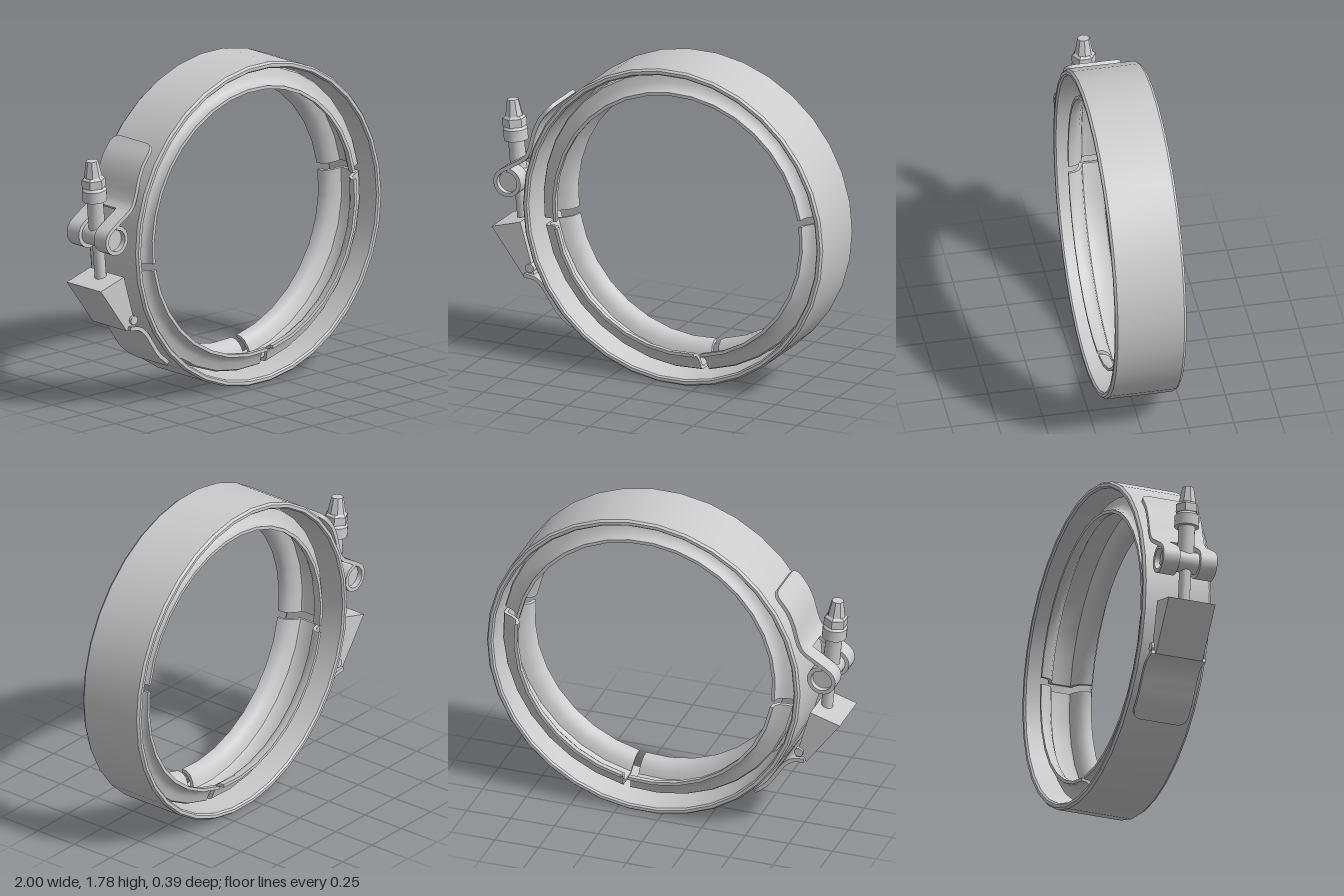
import * as THREE from 'three';
import { toCreasedNormals } from 'three/addons/utils/BufferGeometryUtils.js';

const CX = 0.105, CY = 0.9, RAD = Math.PI / 180;
const mat = new THREE.MeshStandardMaterial({ color: 0xcccccc, side: THREE.DoubleSide });

function add(parent, name, geo, crease = 0.6) {
  const mesh = new THREE.Mesh(toCreasedNormals(geo, crease), mat);
  mesh.name = name;
  parent.add(mesh);
  return mesh;
}

// Sweeps a closed (radius, z) profile around the z axis, from angle a0 over sweep (degrees)
function arc(profile, a0, sweep, segments) {
  const pts = [...profile, profile[0]].map(p => new THREE.Vector2(...p));
  return new THREE.LatheGeometry(pts, segments, (a0 + 90) * RAD, sweep * RAD).rotateX(Math.PI / 2);
}

// Bent sheet metal: follows an xy path, with thickness t, from z0 to z1, end corners rounded by r
function sheet(path, t, z0, z1, steps, r = 0) {
  const curve = new THREE.CatmullRomCurve3(path.map(p => new THREE.Vector3(p[0], p[1], 0)), false, 'centripetal');
  const length = curve.getLength(), us = [];
  if (r) for (const k of [0, 0.05, 0.15, 0.3, 0.55]) us.push(k * r / length);
  for (let i = 0; i <= steps; i++) us.push((r + (length - r) * i / steps) / length);
  const pos = [], idx = [];
  us.forEach((u, i) => {
    const p = curve.getPointAt(Math.min(u, 1)), d = curve.getTangentAt(Math.min(u, 1));
    const gap = Math.max(0, r - u * length), inset = r - Math.sqrt(Math.max(0, r * r - gap * gap));
    const nx = -d.y * t / 2, ny = d.x * t / 2, a = z0 + inset, b = z1 - inset;
    pos.push(p.x + nx, p.y + ny, a, p.x + nx, p.y + ny, b, p.x - nx, p.y - ny, b, p.x - nx, p.y - ny, a);
    if (i) for (let k = 0; k < 4; k++) {
      const m = (k + 1) % 4, A = 4 * (i - 1), B = 4 * i;
      idx.push(A + k, B + m, B + k, A + k, A + m, B + m);
    }
  });
  const e = 4 * (us.length - 1);
  idx.push(0, 2, 1, 0, 3, 2, e, e + 1, e + 2, e, e + 2, e + 3);
  const geo = new THREE.BufferGeometry();
  geo.setAttribute('position', new THREE.Float32BufferAttribute(pos, 3));
  geo.setIndex(idx);
  return geo;
}

export function createModel() {
  const model = new THREE.Group();
  model.name = 'bandClamp';

  // Outer strap with softly bevelled rims
  const strap = add(model, 'outerStrap', arc([
    [0.885, -0.195], [0.895, -0.182], [0.895, 0.182], [0.885, 0.195],
    [0.868, 0.195], [0.86, 0.185], [0.86, -0.185], [0.868, -0.195]], 0, 360, 34));
  strap.position.set(CX, CY, 0);

  // Three flared channel segments inside the strap
  const outer = [[0.842, 0.055], [0.834, 0.07], [0.79, 0.083], [0.762, 0.1], [0.75, 0.12], [0.748, 0.145]];
  const inner = [[0.73, 0.145], [0.733, 0.112], [0.75, 0.085], [0.785, 0.064], [0.818, 0.054], [0.824, 0.042]];
  const flip = list => list.map(([r, z]) => [r, -z]);
  const channel = [...flip(outer).reverse(), ...outer, ...inner, ...flip(inner).reverse()];
  const cap = new THREE.Shape(channel.map(p => new THREE.Vector2(...p)));
  for (const [start, end] of [[10.5, 187.5], [190.5, 277.5], [280.5, 367.5]]) {
    const segment = new THREE.Group();
    segment.name = 'channelSegment';
    segment.position.set(CX + 0.008, CY + 0.003, 0);
    add(segment, 'channel', arc(channel, start, end - start, Math.round((end - start) / 10.5)));
    for (const a of [start, end])
      add(segment, 'channelEnd', new THREE.ShapeGeometry(cap).rotateX(Math.PI / 2).rotateZ(a * RAD));
    model.add(segment);
  }

  // Upper tab, splitting into two loops that hold the trunnion
  const pivot = [-0.9, 0.99];
  const upper = [[-0.63, 1.47], [-0.70, 1.385], [-0.735, 1.31], [-0.765, 1.2], [-0.785, 1.155], [-0.81, 1.13]];
  add(model, 'upperTab', sheet(upper, 0.022, -0.155, 0.155, 18, 0.05));
  const loop = [[-0.81, 1.13], [-0.87, 1.093]];
  for (let a = 120; a <= 450; a += 15)
    loop.push([pivot[0] + 0.07 * Math.cos(a * RAD), pivot[1] + 0.07 * Math.sin(a * RAD)]);
  for (const [z0, z1] of [[-0.155, -0.06], [0.06, 0.155]])
    add(model, 'tabLoop', sheet(loop, 0.022, z0, z1, 40));
  const trunnion = add(model, 'trunnion', new THREE.CylinderGeometry(0.059, 0.059, 0.25, 24).rotateX(Math.PI / 2));
  trunnion.position.set(...pivot, 0);

  // Tension bolt, tilted; heights are measured from the trunnion along the bolt
  const bolt = new THREE.Group();
  bolt.name = 'tensionBolt';
  bolt.position.set(...pivot, 0);
  bolt.rotation.z = 5.4 * RAD;
  const rod = (name, y0, y1, r0, r1, sides = 20) =>
    add(bolt, name, new THREE.CylinderGeometry(r1, r0, y1 - y0, sides).translate(0, (y0 + y1) / 2, 0));
  rod('threadedRod', -0.3, 0.05, 0.032, 0.032);
  rod('sleeve', 0.03, 0.2, 0.045, 0.045);
  rod('collar', 0.2, 0.262, 0.067, 0.067);
  rod('collarBevel', 0.262, 0.277, 0.067, 0.055);
  rod('hexNut', 0.277, 0.322, 0.066, 0.066, 6);
  rod('nutBevel', 0.322, 0.335, 0.064, 0.05, 6);
  rod('boltTip', 0.335, 0.425, 0.05, 0.033, 8);
  model.add(bolt);

  // Wedge bracket that anchors the lower end of the bolt
  const wedge = new THREE.Shape([[-1.0, 0.72], [-0.81, 0.465], [-0.745, 0.475], [-0.83, 0.77]]
    .map(p => new THREE.Vector2(...p)));
  add(model, 'anchorBracket', new THREE.ExtrudeGeometry(wedge, { depth: 0.27, bevelEnabled: false })
    .translate(0, 0, -0.135));
  const pin = add(model, 'bracketPin', new THREE.CylinderGeometry(0.025, 0.025, 0.3, 16).rotateX(Math.PI / 2));
  pin.position.set(-0.768, 0.52, 0);

  // Lower tab
  const lower = [[-0.5, 0.22], [-0.59, 0.295], [-0.64, 0.365], [-0.69, 0.435], [-0.735, 0.468], [-0.8, 0.478]];
  add(model, 'lowerTab', sheet(lower, 0.022, -0.155, 0.155, 18, 0.05));

  return model;
}
